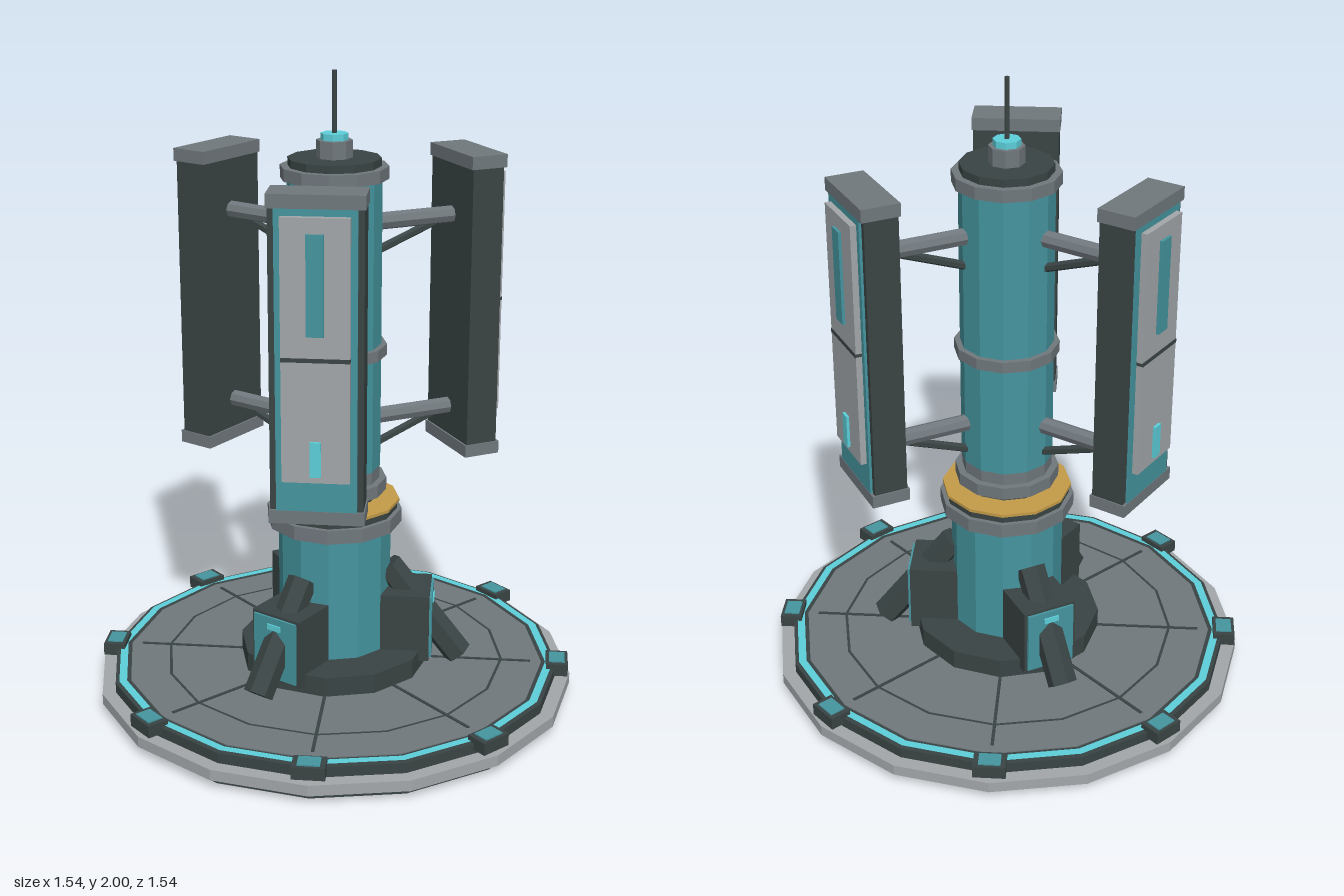
import * as THREE from 'three';

const mat = (name, hex) => {
  const m = new THREE.MeshStandardMaterial({ color: hex });
  m.name = name;
  return m;
};

export function createModel() {
  const teal = mat('teal paint', 0x45959f);
  const cyan = mat('cyan light', 0x5ccfda);
  const dark = mat('dark metal', 0x3a4444);
  const grey = mat('grey metal', 0x70787d);
  const light = mat('light panel', 0xa3a7aa);
  const gold = mat('gold bearing', 0xc49c48);

  const model = new THREE.Group();
  model.name = 'antennaTower';

  // Faceted mesh helper
  const add = (parent, name, geometry, material) => {
    const g = geometry.index ? geometry.toNonIndexed() : geometry;
    g.computeVertexNormals();
    const mesh = new THREE.Mesh(g, material);
    mesh.name = name;
    parent.add(mesh);
    return mesh;
  };
  // Upright prism between two heights
  const drum = (name, r, y0, y1, material, sides = 12) => {
    const m = add(model, name, new THREE.CylinderGeometry(r, r, y1 - y0, sides), material);
    m.position.y = (y0 + y1) / 2;
    return m;
  };
  // Box given by its ranges
  const box = (parent, name, x0, x1, y0, y1, z0, z1, material) => {
    const m = add(parent, name, new THREE.BoxGeometry(x1 - x0, y1 - y0, z1 - z0), material);
    m.position.set((x0 + x1) / 2, (y0 + y1) / 2, (z0 + z1) / 2);
    return m;
  };
  // Rod in the radial (y, z) plane
  const rod = (parent, name, y0, z0, y1, z1, r, sides, material) => {
    const a = new THREE.Vector3(0, y0, z0), b = new THREE.Vector3(0, y1, z1);
    const m = add(parent, name, new THREE.CylinderGeometry(r, r, a.distanceTo(b), sides), material);
    m.position.copy(a).add(b).multiplyScalar(0.5);
    m.rotation.x = Math.atan2(z1 - z0, y1 - y0);
    return m;
  };
  // Flat ring lying on the deck, with corners on the axes
  const flatRing = (name, inner, outer, y, material) => {
    const g = new THREE.RingGeometry(inner, outer, 16, 1);
    g.rotateX(-Math.PI / 2);
    add(model, name, g, material).position.y = y;
  };
  // Group facing +z, turned about the tower axis
  const turned = (name, angle) => {
    const g = new THREE.Group();
    g.name = name;
    g.rotation.y = angle;
    model.add(g);
    return g;
  };

  // Base platform
  drum('baseFoot', 0.73, 0, 0.03, dark, 16);
  drum('baseRim', 0.768, 0.03, 0.065, light, 16);
  drum('deckEdge', 0.725, 0.065, 0.098, dark, 16);
  drum('deck', 0.675, 0.09, 0.101, grey, 16);
  flatRing('deckLightRing', 0.688, 0.713, 0.102, cyan);
  flatRing('deckSeamRing', 0.54, 0.549, 0.104, dark);

  // Deck seams and rim cleats
  for (let i = 0; i < 8; i++) {
    const g = turned('deckSector', (i * Math.PI) / 4);
    box(g, 'deckSeam', -0.005, 0.005, 0.1, 0.104, 0.28, 0.64, dark);
    box(g, 'cleat', -0.05, 0.05, 0.078, 0.118, 0.69, 0.76, dark);
    box(g, 'cleatLight', -0.034, 0.034, 0.118, 0.122, 0.7, 0.75, teal);
  }

  // Pedestal
  drum('pedestalFoot', 0.305, 0.1, 0.165, dark);
  drum('pedestal', 0.18, 0.16, 0.58, teal);
  drum('pedestalCollar', 0.215, 0.577, 0.622, grey);
  drum('bearingSeat', 0.2, 0.622, 0.645, dark);
  drum('bearing', 0.207, 0.645, 0.655, gold);

  // Pedestal buttresses
  for (let i = 0; i < 3; i++) {
    const g = turned('buttress', Math.PI / 2 + (i * Math.PI * 2) / 3);
    box(g, 'buttressBlock', -0.09, 0.09, 0.13, 0.355, 0.1, 0.312, dark);
    box(g, 'buttressPlate', -0.08, 0.08, 0.14, 0.347, 0.312, 0.32, teal);
    box(g, 'buttressLight', -0.025, 0.025, 0.308, 0.326, 0.32, 0.325, cyan);
    rod(g, 'buttressLeg', 0.425, 0.172, 0.122, 0.405, 0.047, 6, dark);
  }

  // Mast
  drum('mastFoot', 0.14, 0.667, 0.685, dark);
  drum('mastLowerBand', 0.165, 0.685, 0.725, grey);
  drum('mastNeck', 0.143, 0.725, 0.77, grey);
  drum('mast', 0.145, 0.765, 1.69, teal);
  drum('mastMiddleBand', 0.163, 1.13, 1.165, grey);
  drum('mastUpperBand', 0.165, 1.68, 1.718, grey);
  drum('mastCap', 0.142, 1.718, 1.742, dark);
  drum('aerialHub', 0.055, 1.742, 1.795, grey, 8);
  drum('aerialLight', 0.042, 1.795, 1.815, cyan, 8);
  drum('aerial', 0.008, 1.81, 2, dark, 6);

  // Antenna panels with their brackets
  for (let i = 0; i < 3; i++) {
    const g = turned('antennaPanel', (i * Math.PI * 2) / 3);
    box(g, 'panelBody', -0.135, 0.135, 0.795, 1.71, 0.4, 0.505, dark);
    for (const y of [0.77, 1.695]) {
      box(g, 'panelEndCap', -0.139, 0.139, y, y + 0.04, 0.394, 0.514, grey);
    }
    box(g, 'panelFace', -0.117, 0.117, 0.81, 1.695, 0.505, 0.513, teal);
    box(g, 'lowerCover', -0.098, 0.098, 0.905, 1.265, 0.513, 0.532, light);
    box(g, 'upperCover', -0.098, 0.098, 1.275, 1.675, 0.513, 0.532, light);
    box(g, 'coverSeam', -0.098, 0.098, 1.264, 1.276, 0.513, 0.534, dark);
    box(g, 'panelStripe', -0.025, 0.025, 1.34, 1.63, 0.532, 0.541, teal);
    box(g, 'panelLight', -0.016, 0.016, 0.925, 1.03, 0.532, 0.541, cyan);
    for (const y of [0.905, 1.533]) {
      rod(g, 'bracketArm', y, 0.1, y, 0.41, 0.027, 8, grey);
      rod(g, 'bracketBrace', y - 0.1, 0.12, y - 0.005, 0.375, 0.014, 6, dark);
    }
  }

  return model;
}
